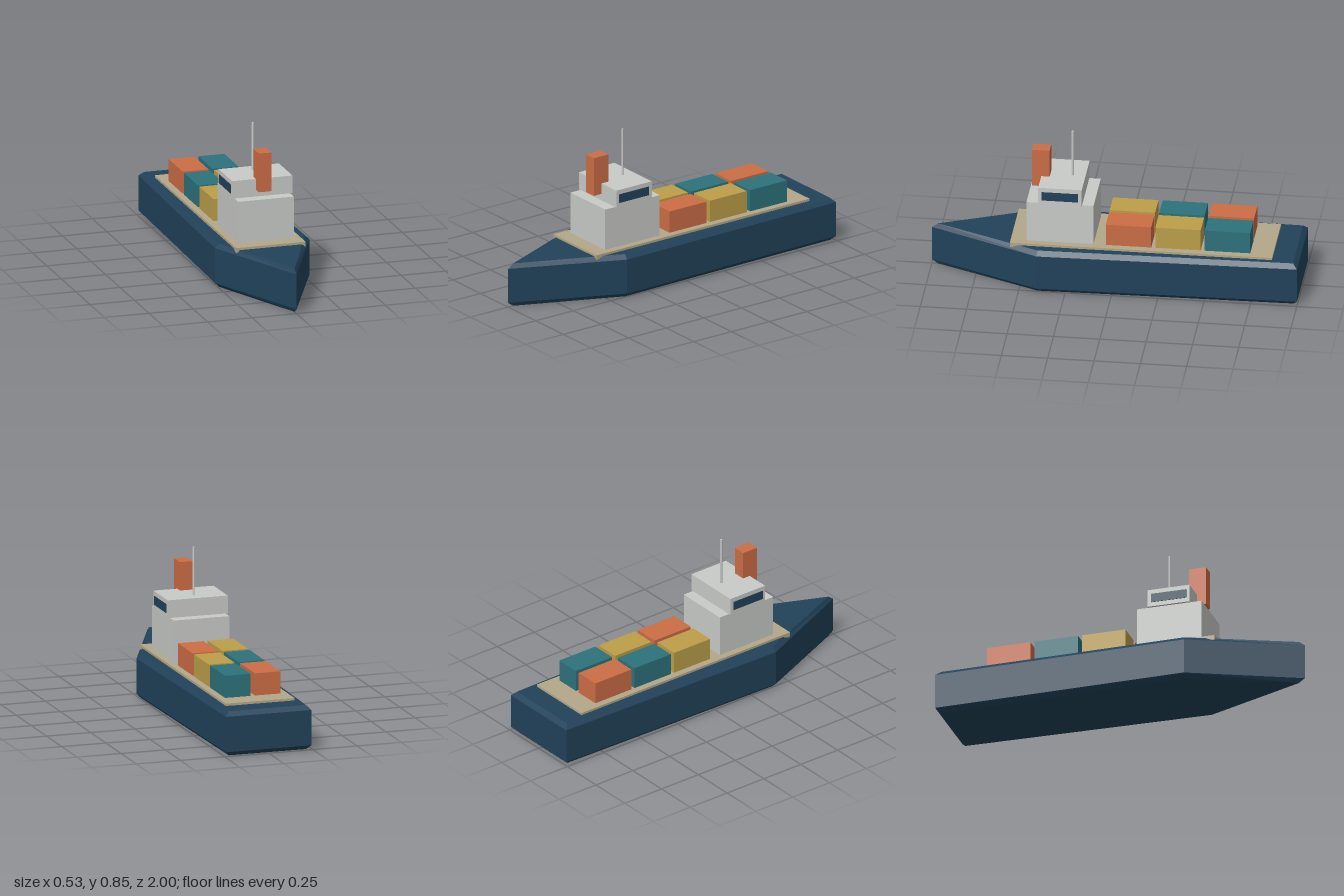
import * as THREE from 'three';

const mat = (name, color) => {
  const m = new THREE.MeshStandardMaterial({ color, flatShading: true });
  m.name = name;
  return m;
};

export function createModel() {
  const ship = new THREE.Group();
  ship.name = 'cargoShip';

  const navy = mat('navy', 0x21425a);
  const sand = mat('sand', 0xb3a888);
  const grey = mat('lightGrey', 0xc9cbc8);
  const orange = mat('orange', 0xcc6d45);
  const teal = mat('teal', 0x2d727c);
  const yellow = mat('yellow', 0xbd9f49);

  const add = (name, geometry, material) => {
    const mesh = new THREE.Mesh(geometry, material);
    mesh.name = name;
    ship.add(mesh);
    return mesh;
  };
  // Box given by its limits on each axis
  const box = (name, material, [x0, x1], [y0, y1], [z0, z1]) =>
    add(name, new THREE.BoxGeometry(x1 - x0, y1 - y0, z1 - z0), material)
      .position.set((x0 + x1) / 2, (y0 + y1) / 2, (z0 + z1) / 2);

  // Hull: pointed plan with a bevel along top and bottom
  const bevel = 0.024;
  const plan = new THREE.Shape([
    [-0.218, 0.976], [-0.242, -0.4], [0, -0.966], [0.242, -0.4], [0.218, 0.976],
  ].map(([x, y]) => new THREE.Vector2(x, y)));
  const hull = new THREE.ExtrudeGeometry(plan, {
    depth: 0.195, bevelEnabled: true, bevelSize: bevel, bevelThickness: bevel, bevelSegments: 1,
  });
  hull.rotateX(-Math.PI / 2).translate(0, bevel, 0);
  add('hull', hull, navy);

  // Deck and superstructure
  box('deck', sand, [-0.195, 0.195], [0.229, 0.256], [-0.86, 0.555]);
  box('deckhouse', grey, [-0.157, 0.157], [0.256, 0.487], [0.108, 0.47]);
  box('bridge', grey, [-0.17, 0.17], [0.487, 0.585], [0.17, 0.405]);
  for (const side of [-1, 1]) {
    const x = side * 0.17;
    box(side > 0 ? 'leftWindow' : 'rightWindow', navy, [x - 0.003, x + 0.003], [0.511, 0.56], [0.19, 0.388]);
  }

  // Funnel and mast
  box('funnel', orange, [-0.036, 0.036], [0.525, 0.741], [0.36, 0.456]);
  add('mast', new THREE.CylinderGeometry(0.0065, 0.0065, 0.27, 8), grey).position.set(0, 0.715, 0.24);

  // Containers: three rows of two, from stern to midships
  const rows = [[orange, teal], [teal, yellow], [yellow, orange]];
  rows.forEach((row, i) => row.forEach((colour, j) => {
    const x = j ? 0.012 : -0.157;
    const z = -0.737 + i * 0.267;
    box(`container${i * 2 + j + 1}`, colour, [x, x + 0.145], [0.25, 0.378], [z, z + 0.245]);
  }));

  return ship;
}
